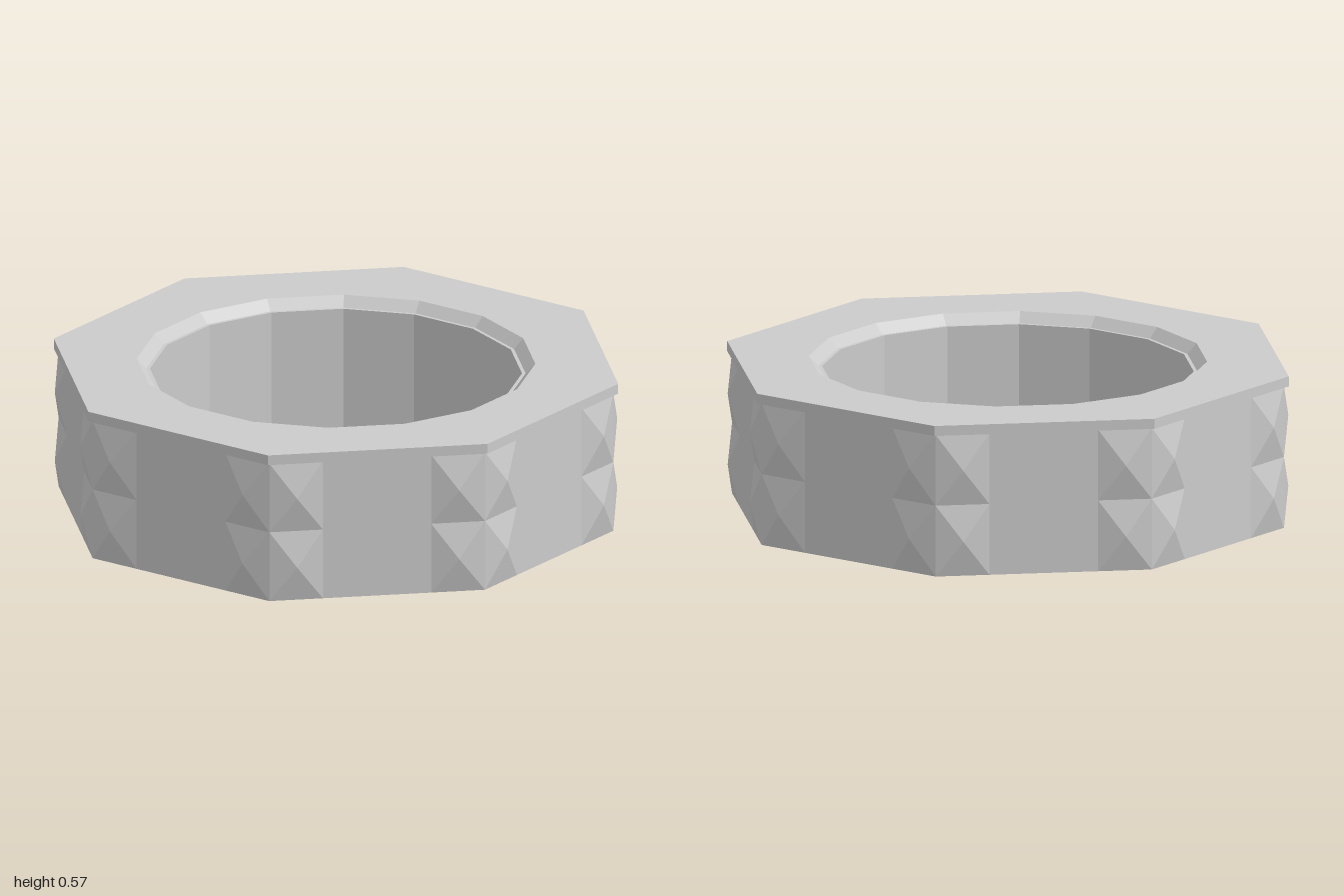
import * as THREE from 'three';

const material = new THREE.MeshStandardMaterial({ color: 0xcccccc, flatShading: true });

// Point on a regular polygon with a flat side facing +z, at a given angle
function polygonPoint(sides, apothem, y, angle) {
  const step = (2 * Math.PI) / sides;
  const offset = angle - Math.round(angle / step) * step;
  const r = apothem / Math.cos(offset);
  return [r * Math.sin(angle), y, r * Math.cos(angle)];
}

// Sweep a closed profile of [sides, apothem, y] around the y axis.
// 32 steps land on every corner of both the octagon and the 16-sided bore.
function polygonRing(profile) {
  const steps = 32, n = profile.length, positions = [];
  for (let s = 0; s < steps; s++) {
    const a0 = (s / steps) * 2 * Math.PI, a1 = ((s + 1) / steps) * 2 * Math.PI;
    for (let i = 0; i < n; i++) {
      const p = profile[i], q = profile[(i + 1) % n];
      const a = polygonPoint(...p, a0), b = polygonPoint(...p, a1);
      const c = polygonPoint(...q, a1), d = polygonPoint(...q, a0);
      positions.push(...a, ...b, ...c, ...a, ...c, ...d);
    }
  }
  const geometry = new THREE.BufferGeometry();
  geometry.setAttribute('position', new THREE.Float32BufferAttribute(positions, 3));
  geometry.computeVertexNormals();
  return geometry;
}

function addMesh(parent, name, geometry) {
  const mesh = new THREE.Mesh(geometry, material);
  mesh.name = name;
  parent.add(mesh);
  return mesh;
}

export function createModel() {
  const group = new THREE.Group();
  group.name = 'octagonalRing';

  const bodyHeight = 0.537, topY = 0.575;
  const bodyApothem = 0.97;
  const halfSide = bodyApothem * Math.tan(Math.PI / 8);

  // Octagonal wall with a 16-sided bore
  addMesh(group, 'wall', polygonRing([
    [8, bodyApothem, 0], [8, bodyApothem, bodyHeight],
    [16, 0.672, bodyHeight], [16, 0.672, 0],
  ]));

  // Slightly overhanging top slab with a chamfered opening
  addMesh(group, 'topSlab', polygonRing([
    [8, 0.987, bodyHeight], [8, 0.987, topY],
    [16, 0.72, topY], [16, 0.685, bodyHeight],
  ]));

  // Pyramid blocks: two rows on both ends of each side
  const blockWidth = 0.2, blockHeight = bodyHeight / 2, blockDepth = 0.03;
  const block = new THREE.ConeGeometry(Math.SQRT1_2, 1, 4, 1, true);
  block.rotateY(Math.PI / 4);
  block.rotateX(Math.PI / 2);
  block.translate(0, 0, 0.5);
  block.scale(blockWidth, blockHeight, blockDepth);

  for (let side = 0; side < 8; side++) {
    const blocks = new THREE.Group();
    blocks.name = 'cornerBlocks';
    blocks.rotation.y = (side * Math.PI) / 4;
    for (const end of [-1, 1]) {
      for (const row of [0, 1]) {
        addMesh(blocks, 'pyramidBlock', block).position.set(
          end * (halfSide - blockWidth / 2), (row + 0.5) * blockHeight, bodyApothem);
      }
    }
    group.add(blocks);
  }
  return group;
}
